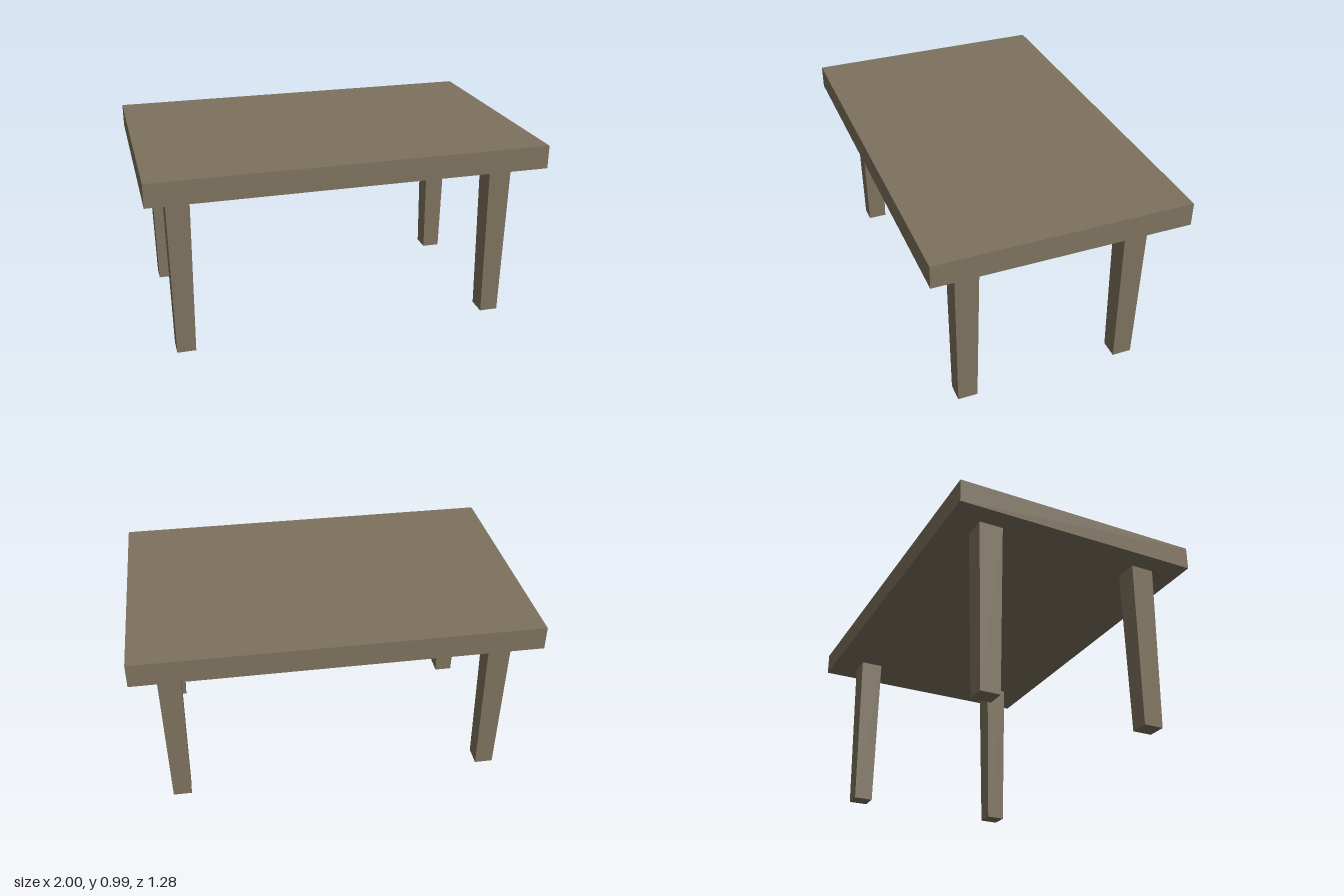
import * as THREE from 'three';

const TOP_Y = 0.985, UNDER_Y = 0.866, DEPTH = 1.28;

// Square leg, wider at the top than at the foot
function taperedLeg() {
  const geo = new THREE.BoxGeometry(0.118, UNDER_Y, 0.122);
  const pos = geo.attributes.position;
  for (let i = 0; i < pos.count; i++) {
    if (pos.getY(i) < 0) {
      pos.setX(i, pos.getX(i) * 0.81);
      pos.setZ(i, pos.getZ(i) * 0.83);
    }
  }
  geo.translate(0, UNDER_Y / 2, 0);
  geo.computeVertexNormals();
  return geo;
}

export function createModel() {
  const table = new THREE.Group();
  table.name = 'table';
  const wood = new THREE.MeshStandardMaterial({ color: 0x7d725e, flatShading: true });

  // Thick slab top
  const slab = new THREE.Mesh(new THREE.BoxGeometry(2, TOP_Y - UNDER_Y, DEPTH), wood);
  slab.name = 'tabletop';
  slab.position.y = (TOP_Y + UNDER_Y) / 2;
  table.add(slab);

  // Four legs, the left pair set slightly further in than the right pair
  const legGeo = taperedLeg();
  for (const [side, x] of [['Left', 0.819], ['Right', -0.836]]) {
    for (const [end, z] of [['front', 0.43], ['back', -0.43]]) {
      const leg = new THREE.Mesh(legGeo, wood);
      leg.name = `${end}${side}Leg`;
      leg.position.set(x, 0, z);
      table.add(leg);
    }
  }
  return table;
}
